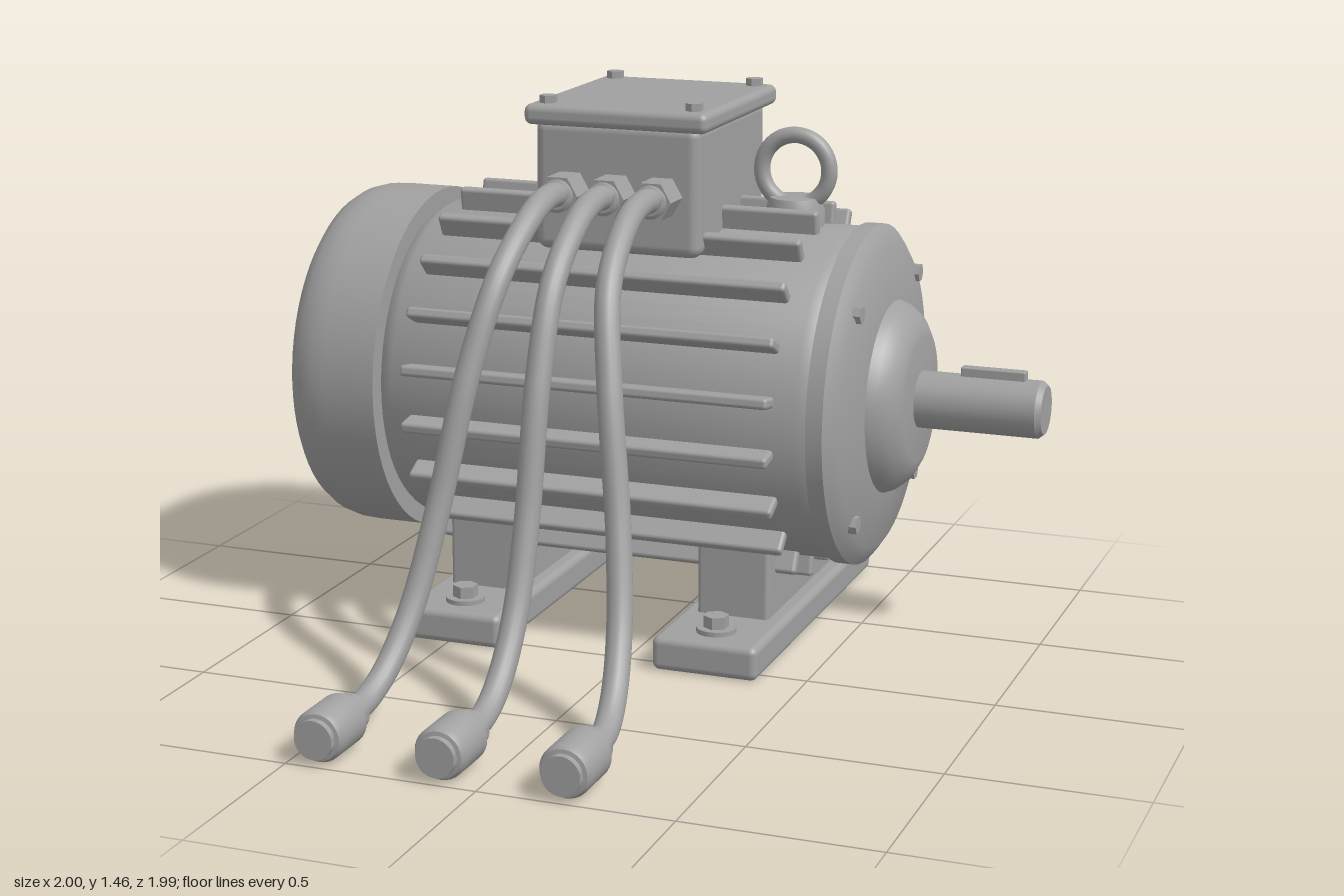
import * as THREE from 'three';
import { toCreasedNormals } from 'three/addons/utils/BufferGeometryUtils.js';
import { RoundedBoxGeometry } from 'three/addons/geometries/RoundedBoxGeometry.js';

const AXIS_Y = 0.66, AXIS_Z = -0.47;

export function createModel() {
  const model = new THREE.Group();
  model.name = 'electricMotor';
  const grey = new THREE.MeshStandardMaterial({ color: 0xa0a0a0 });
  grey.name = 'castGrey';

  const add = (parent, name, geo, x = 0, y = 0, z = 0) => {
    const m = new THREE.Mesh(geo, grey);
    m.name = name;
    m.position.set(x, y, z);
    parent.add(m);
    return m;
  };
  // Box given by its extents, with softened edges
  const block = (parent, name, x0, x1, y0, y1, z0, z1, r) =>
    add(parent, name, new RoundedBoxGeometry(x1 - x0, y1 - y0, z1 - z0, 3, r),
      (x0 + x1) / 2, (y0 + y1) / 2, (z0 + z1) / 2);
  // Turned part: pairs of [radius, distance along the axis]
  const turned = (pts, sides = 64) => toCreasedNormals(
    new THREE.LatheGeometry(pts.map(p => new THREE.Vector2(p[0], p[1])), sides), 0.5);
  const turnedX = (pts, sides) => turned(pts, sides).rotateZ(-Math.PI / 2);
  const turnedZ = (pts, sides) => turned(pts, sides).rotateX(Math.PI / 2);
  const hex = (r, h) => toCreasedNormals(new THREE.CylinderGeometry(r, r, h, 6), 0.5);

  // Everything centred on the shaft line
  const drive = new THREE.Group();
  drive.name = 'motorBody';
  drive.position.set(0, AXIS_Y, AXIS_Z);
  model.add(drive);

  add(drive, 'housing', turnedX([[0, -0.75], [0.41, -0.75], [0.435, -0.72], [0.45, -0.69],
    [0.45, 0.45], [0.44, 0.475], [0.42, 0.49], [0, 0.49]]));
  add(drive, 'frontFlange', turnedX([[0, 0.48], [0.46, 0.48], [0.46, 0.525], [0.445, 0.537],
    [0.41, 0.56], [0.26, 0.58], [0.25, 0.605], [0.225, 0.635], [0.19, 0.655], [0.17, 0.66], [0, 0.66]]));
  add(drive, 'shaft', turnedX([[0, 0.62], [0.077, 0.62], [0.077, 0.985], [0.065, 1], [0, 1]], 32));
  block(drive, 'shaftKey', 0.77, 0.945, 0.05, 0.1, -0.016, 0.016, 0.004);

  // Cooling fins
  for (let i = 0; i < 20; i++) {
    const a = (i + 0.5) * Math.PI / 10;
    const fin = add(drive, 'coolingFin', new RoundedBoxGeometry(1.03, 0.1, 0.03, 2, 0.01),
      -0.125, Math.cos(a) * 0.46, Math.sin(a) * 0.46);
    fin.rotation.x = a;
  }

  // Flange bolts
  for (const sy of [-1, 1]) for (const sz of [-1, 1])
    add(drive, 'flangeBolt', hex(0.025, 0.04).rotateZ(Math.PI / 2), 0.555, sy * 0.282, sz * 0.282);

  // Fan cover with a recessed opening and its grille
  add(drive, 'fanCover', turnedX([[0, -0.9], [0.36, -0.9], [0.36, -0.99], [0.37, -1], [0.425, -1],
    [0.447, -0.985], [0.467, -0.955], [0.478, -0.915], [0.48, -0.88], [0.48, -0.73], [0, -0.73]]));
  add(drive, 'grilleHub', turnedX([[0, -0.99], [0.1, -0.99], [0.11, -0.98], [0.11, -0.955], [0, -0.955]], 32));
  for (const r of [0.165, 0.23, 0.3])
    add(drive, 'grilleRing', new THREE.TorusGeometry(r, 0.012, 8, 48).rotateY(Math.PI / 2), -0.975);
  for (let i = 0; i < 6; i++) {
    const a = i * Math.PI / 3;
    const spoke = add(drive, 'grilleSpoke', new THREE.BoxGeometry(0.025, 0.29, 0.024),
      -0.975, Math.cos(a) * 0.235, Math.sin(a) * 0.235);
    spoke.rotation.x = a;
  }

  // Feet: floor bars, pedestals and anchor bolts
  for (const [x0, x1] of [[-0.63, -0.345], [0.09, 0.38]]) {
    const mid = (x0 + x1) / 2;
    block(model, 'footBar', x0, x1, 0, 0.092, -0.995, 0.065, 0.02);
    block(model, 'footPedestal', mid - 0.1, mid + 0.1, 0.07, 0.36, -0.765, -0.17, 0.012);
    for (const z of [-0.04, -0.89]) {
      add(model, 'anchorWasher', new THREE.CylinderGeometry(0.053, 0.053, 0.02, 24), mid, 0.095, z);
      add(model, 'anchorBolt', hex(0.034, 0.06), mid, 0.107, z);
    }
  }

  // Terminal box with lid and screws
  block(model, 'terminalBox', -0.338, 0.125, 1.05, 1.4, -0.74, -0.19, 0.03);
  block(model, 'terminalLid', -0.362, 0.152, 1.385, 1.44, -0.765, -0.17, 0.02);
  for (const x of [-0.31, 0.1]) for (const z of [-0.225, -0.715])
    add(model, 'lidScrew', hex(0.024, 0.04), x, 1.44, z);

  // Lifting eye
  add(model, 'liftingEyeBase', turned([[0, 1.08], [0.08, 1.08], [0.08, 1.15], [0.068, 1.185], [0, 1.19]], 32),
    0.3, 0, AXIS_Z);
  add(model, 'liftingEye', new THREE.TorusGeometry(0.094, 0.022, 16, 48), 0.3, 1.257, AXIS_Z);

  // Three cables fanning out: [sideways spread, y, z]
  const path = [[0.13, 1.215, -0.14], [0.13, 1.222, -0.03], [0.132, 1.19, 0.08], [0.15, 1.06, 0.25],
    [0.192, 0.83, 0.352], [0.245, 0.49, 0.43], [0.28, 0.26, 0.515], [0.305, 0.125, 0.62],
    [0.319, 0.07, 0.72], [0.32, 0.067, 0.82]];
  for (const side of [-1, 0, 1]) {
    const cable = new THREE.Group();
    cable.name = 'cable';
    cable.position.x = -0.105;
    model.add(cable);
    const curve = new THREE.CatmullRomCurve3(path.map(p => new THREE.Vector3(side * p[0], p[1], p[2])));
    add(cable, 'cableHose', new THREE.TubeGeometry(curve, 72, 0.033, 16));
    // Hexagonal gland on the box
    add(cable, 'cableGland', hex(0.056, 0.09).rotateX(Math.PI / 2).rotateZ(Math.PI / 6), side * 0.13, 1.215, -0.145);
    add(cable, 'glandNeck', turnedZ([[0, -0.11], [0.044, -0.11], [0.044, -0.09], [0.035, -0.085], [0, -0.085]], 24),
      side * 0.13, 1.215, 0);
    // Plug on the loose end
    add(cable, 'cablePlug', turnedZ([[0, 0.79], [0.05, 0.79], [0.05, 0.83], [0.058, 0.83], [0.067, 0.842],
      [0.067, 0.965], [0.06, 0.98], [0.05, 0.982], [0.05, 1], [0, 1]], 32), side * 0.32, 0.068, 0);
  }
  return model;
}
